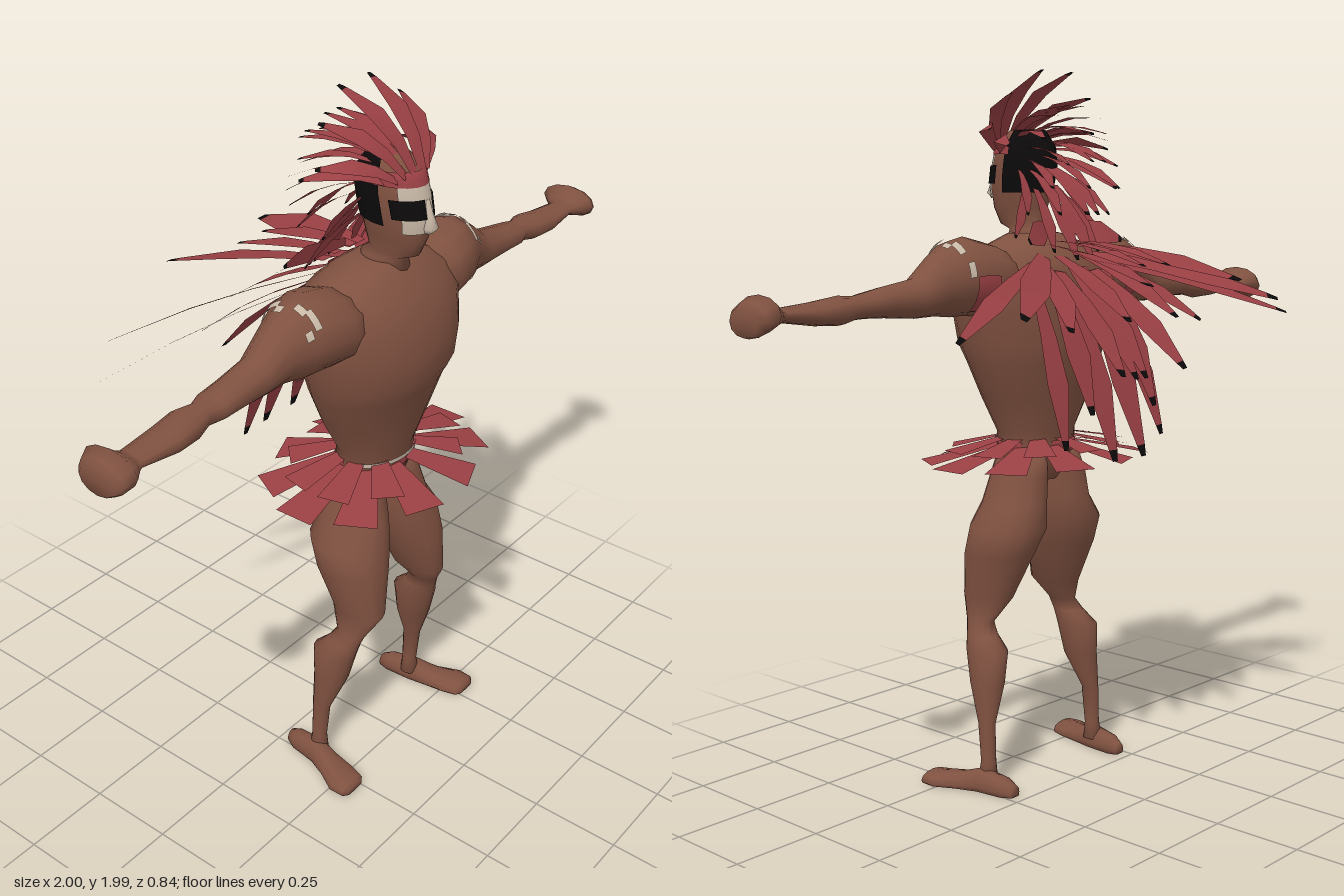
import * as THREE from 'three';

const mat = (name, color, side = THREE.FrontSide) =>
  Object.assign(new THREE.MeshStandardMaterial({ color, side }), { name });
const V = (x, y, z) => new THREE.Vector3(x, y, z);

// Skin of elliptical sections [t, a, b, ra, rb] along an axis (x: a=y b=z, y: a=z b=x, z: a=x b=y)
function loft(axis, secs, n = 16, a0 = 0, a1 = Math.PI * 2) {
  const closed = a1 - a0 > 6.28, cols = closed ? n : n + 1;
  const pos = [], idx = [];
  const put = (t, a, b) => pos.push(...(axis === 'x' ? [t, a, b] : axis === 'y' ? [b, t, a] : [a, b, t]));
  for (const [t, a, b, ra, rb] of secs)
    for (let i = 0; i < cols; i++) {
      const q = a0 + (a1 - a0) * i / n;
      put(t, a + ra * Math.cos(q), b + rb * Math.sin(q));
    }
  for (let j = 0; j < secs.length - 1; j++)
    for (let i = 0; i < n; i++) {
      const p = j * cols + i, q = j * cols + (i + 1) % cols;
      idx.push(p, q, q + cols, p, q + cols, p + cols);
    }
  if (closed) {
    const last = (secs.length - 1) * n, c = secs.length * n;
    put(...secs[0]);
    put(...secs[secs.length - 1]);
    for (let i = 0; i < n; i++) {
      const k = (i + 1) % n;
      idx.push(c, k, i, c + 1, last + i, last + k);
    }
  }
  return finish(pos, idx);
}

function finish(pos, idx) {
  const g = new THREE.BufferGeometry();
  g.setAttribute('position', new THREE.Float32BufferAttribute(pos, 3));
  g.setIndex(idx);
  g.computeVertexNormals();
  return g;
}

// Thin painted patch lying just above a lofted surface
function patch(axis, secs, t0, t1, a0, a1, grow = 0.004) {
  const at = t => {
    let j = 0;
    while (j < secs.length - 2 && secs[j + 1][0] < t) j++;
    const f = (t - secs[j][0]) / (secs[j + 1][0] - secs[j][0]);
    return secs[j].map((v, k) => v + (secs[j + 1][k] - v) * f + (k > 2 ? grow : 0));
  };
  return loft(axis, [0, 0.25, 0.5, 0.75, 1].map(f => at(t0 + (t1 - t0) * f)), 10, a0, a1);
}

function mirrored(geo) {
  const g = geo.clone().scale(-1, 1, 1);
  g.setIndex(Array.from(geo.index.array).reverse());
  g.computeVertexNormals();
  return g;
}

// Flat strip from base to tip; stops are [fraction, half width]
function strip(base, tip, hint, stops, lift) {
  const dir = tip.clone().sub(base);
  const side = dir.clone().cross(hint).normalize();
  const up = side.clone().cross(dir).normalize();
  const pos = [], idx = [];
  stops.forEach(([f, w], i) => {
    const c = base.clone().addScaledVector(dir, f).addScaledVector(up, lift * Math.sin(f * Math.PI));
    for (const s of [-1, 1]) pos.push(...c.clone().addScaledVector(side, s * w).toArray());
    if (i) idx.push(2 * i - 2, 2 * i - 1, 2 * i + 1, 2 * i - 2, 2 * i + 1, 2 * i);
  });
  return finish(pos, idx);
}

export function createModel() {
  const model = new THREE.Group();
  model.name = 'featheredWarrior';
  const skin = mat('brownSkin', 0x7f5140);
  const red = mat('redFeather', 0x9a4044, THREE.DoubleSide);
  const black = mat('black', 0x0c0a0a, THREE.DoubleSide);
  const cream = mat('creamPaint', 0xc8b8a6, THREE.DoubleSide);
  const group = name => {
    const g = new THREE.Group();
    g.name = name;
    model.add(g);
    return g;
  };
  const add = (name, geo, material, parent = model) => {
    const m = new THREE.Mesh(geo, material);
    m.name = name;
    parent.add(m);
  };
  const pair = (name, geo, material, parent = model) => {
    add('left' + name, geo, material, parent);
    add('right' + name, mirrored(geo), material, parent);
  };

  // Torso
  const torso = [
    [0.86, 0.145, 0, 0.05, 0.06], [0.9, 0.148, 0, 0.08, 0.125], [0.95, 0.153, 0, 0.093, 0.128],
    [1.0, 0.155, 0, 0.095, 0.125], [1.1, 0.155, 0, 0.125, 0.18], [1.2, 0.158, 0, 0.152, 0.225],
    [1.25, 0.165, 0, 0.172, 0.242], [1.33, 0.165, 0, 0.175, 0.262], [1.42, 0.158, 0, 0.165, 0.272],
    [1.48, 0.147, 0, 0.14, 0.245], [1.52, 0.15, 0, 0.1, 0.17], [1.55, 0.16, 0, 0.065, 0.08]];
  add('torso', loft('y', torso, 20), skin);
  add('belt', patch('y', torso, 0.94, 0.975, 0, 6.2832), red);
  add('beltTrim', patch('y', torso, 0.972, 0.985, -1.1, 1.1, 0.006), cream);

  // Neck and head
  const head = [
    [1.5, 0.17, 0, 0.08, 0.065], [1.56, 0.175, 0, 0.065, 0.048], [1.575, 0.205, 0, 0.075, 0.04],
    [1.62, 0.21, 0, 0.09, 0.056], [1.68, 0.205, 0, 0.103, 0.066], [1.74, 0.193, 0, 0.103, 0.07],
    [1.79, 0.19, 0, 0.09, 0.064], [1.83, 0.185, 0, 0.055, 0.04]];
  add('head', loft('y', head), skin);
  add('hair', patch('y', head, 1.66, 1.83, 1.45, 4.83), black);
  add('faceMask', patch('y', head, 1.645, 1.765, -0.95, 0.95), cream);
  add('headband', patch('y', head, 1.765, 1.8, -1.6, 1.6, 0.006), red);
  pair('Eye', patch('y', head, 1.685, 1.735, 0.18, 1.2, 0.007), black);
  add('nose', loft('y', [[1.645, 0.305, 0, 0.014, 0.012], [1.66, 0.312, 0, 0.022, 0.02],
    [1.69, 0.306, 0, 0.015, 0.012], [1.73, 0.296, 0, 0.01, 0.009]], 8), cream);

  // Arms and fists, with broken paint marks round the shoulders
  const arm = [
    [0.14, 1.43, 0.15, 0.07, 0.1], [0.22, 1.43, 0.15, 0.1, 0.12], [0.29, 1.44, 0.15, 0.105, 0.108],
    [0.34, 1.434, 0.15, 0.1, 0.09], [0.4, 1.42, 0.145, 0.08, 0.066], [0.47, 1.39, 0.145, 0.052, 0.055],
    [0.57, 1.385, 0.15, 0.04, 0.05], [0.63, 1.38, 0.15, 0.033, 0.05], [0.67, 1.376, 0.15, 0.03, 0.035],
    [0.72, 1.372, 0.15, 0.037, 0.052], [0.79, 1.368, 0.155, 0.03, 0.052], [0.9, 1.37, 0.155, 0.017, 0.04],
    [0.92, 1.37, 0.153, 0.025, 0.052], [0.955, 1.378, 0.15, 0.045, 0.085],
    [0.985, 1.364, 0.15, 0.044, 0.072], [1.0, 1.36, 0.15, 0.037, 0.055]];
  pair('Arm', loft('x', arm, 12), skin);
  for (const [x, a, len] of [[0.335, 0.2, 0.35], [0.325, 0.5, 0.55], [0.35, 0.95, 0.25], [0.36, 2.4, 0.2],
    [0.34, -0.8, 0.5], [0.355, -0.35, 0.3], [0.33, -1.5, 0.4]])
    pair('ShoulderPaint', patch('x', arm, x, x + 0.018, a, a + len, 0.005), cream);
  pair('ShoulderPatch', patch('x', arm, 0.26, 0.325, -2.5, -1.5, 0.005), red);

  // Legs and feet
  pair('Leg', loft('y', [
    [0.03, 0.135, 0.225, 0.028, 0.028], [0.08, 0.135, 0.222, 0.022, 0.021], [0.19, 0.142, 0.221, 0.028, 0.021],
    [0.3, 0.16, 0.198, 0.052, 0.047], [0.39, 0.168, 0.191, 0.067, 0.051], [0.43, 0.195, 0.182, 0.05, 0.038],
    [0.465, 0.212, 0.172, 0.046, 0.03], [0.53, 0.212, 0.14, 0.083, 0.052], [0.66, 0.178, 0.128, 0.107, 0.092],
    [0.735, 0.157, 0.113, 0.117, 0.103], [0.8, 0.155, 0.09, 0.102, 0.082], [0.88, 0.147, 0.078, 0.09, 0.072],
    [0.94, 0.147, 0.066, 0.08, 0.055]], 14), skin);
  const foot = loft('z', [
    [0.03, 0.226, 0.012, 0.018, 0.022], [0.06, 0.23, 0.015, 0.03, 0.035], [0.14, 0.238, 0.015, 0.034, 0.048],
    [0.2, 0.255, 0.01, 0.042, 0.034], [0.26, 0.275, 0.008, 0.055, 0.028], [0.3, 0.28, 0.008, 0.048, 0.024],
    [0.312, 0.28, 0.008, 0.032, 0.014]], 12);
  const fp = foot.attributes.position;
  for (let i = 0; i < fp.count; i++) fp.setY(i, Math.max(0, fp.getY(i)));
  foot.computeVertexNormals();
  pair('Foot', foot, skin);

  // Feathers: [base xyz, tip xyz, width], mirrored, with black tips
  function feathers(name, rows, hint, lift) {
    const g = group(name);
    for (const [bx, by, bz, tx, ty, tz, w] of rows) {
      const b = V(bx, by, bz), t = V(tx, ty, tz);
      pair('Feather', strip(b, t, hint, [[0, w * 0.22], [0.3, w * 0.38], [0.6, w * 0.5], [0.94, w * 0.17]], lift), red, g);
      pair('FeatherTip', strip(b, t, hint, [[0.94, w * 0.17], [1, w * 0.1]], lift), black, g);
    }
  }
  feathers('frontCrest', [
    [0.015, 1.79, 0.275, 0.06, 1.985, 0.07, 0.062], [0.04, 1.79, 0.265, 0.16, 1.92, 0.09, 0.055],
    [0.055, 1.78, 0.25, 0.21, 1.825, 0.12, 0.045], [0.06, 1.77, 0.22, 0.2, 1.78, 0.06, 0.04]], V(0, 0.7, 0.7), 0.035);
  feathers('topCrest', [
    [0.015, 1.82, 0.23, 0.025, 1.89, 0.0, 0.05], [0.03, 1.82, 0.2, 0.09, 1.86, -0.01, 0.05],
    [0.02, 1.82, 0.16, 0.04, 1.815, -0.07, 0.05], [0.045, 1.81, 0.17, 0.13, 1.8, 0, 0.045]], V(0, 1, 0), 0.02);
  feathers('backCrest', [
    [0.015, 1.8, 0.12, 0.025, 1.74, -0.08, 0.055], [0.045, 1.78, 0.13, 0.1, 1.73, -0.06, 0.05],
    [0.03, 1.76, 0.1, 0.06, 1.67, -0.1, 0.055], [0.055, 1.75, 0.13, 0.13, 1.67, -0.03, 0.05],
    [0.015, 1.73, 0.1, 0.02, 1.6, -0.06, 0.06], [0.05, 1.72, 0.12, 0.1, 1.6, -0.03, 0.05]], V(0, 0.7, -0.7), 0.015);
  feathers('napeFeathers', [
    [0.02, 1.68, 0.1, 0.03, 1.48, -0.03, 0.06], [0.045, 1.67, 0.11, 0.09, 1.5, 0.0, 0.05],
    [0.06, 1.67, 0.14, 0.18, 1.54, 0.06, 0.035], [0.065, 1.72, 0.15, 0.12, 1.6, 0.07, 0.04],
    [0.04, 1.57, 0.08, 0.19, 1.53, 0.0, 0.07]], V(0, 0.3, -1), 0.01);
  feathers('capeFeathers', [
    [0.06, 1.52, 0.04, 0.19, 1.43, -0.41, 0.12], [0.03, 1.53, 0.05, 0.05, 1.47, -0.28, 0.07],
    [0.1, 1.49, 0.03, 0.53, 1.36, -0.3, 0.085], [0.14, 1.47, 0.03, 0.68, 1.31, -0.23, 0.055],
    [0.05, 1.49, 0.02, 0.1, 1.33, -0.27, 0.09], [0.11, 1.47, 0.02, 0.27, 1.31, -0.22, 0.08]], V(0, 0.8, -0.6), 0.015);
  feathers('longBackFeathers', [
    [0.07, 1.45, 0, 0.13, 1.19, -0.275, 0.095], [0.15, 1.4, 0.01, 0.2, 0.99, -0.14, 0.08],
    [0.04, 1.43, 0, 0.06, 0.95, -0.19, 0.1], [0.11, 1.45, 0, 0.13, 1.08, -0.17, 0.09],
    [0.02, 1.46, 0, 0.02, 1.17, -0.23, 0.08]], V(0, 0.4, -1), 0.015);

  // Two layers of skirt panels radiating from the waist
  const skirt = group('skirt');
  for (const [reach, y0, y1, w, turn] of [[1, 0.965, 0.92, 0.058, 0.5], [0.8, 0.985, 0.955, 0.045, 0]])
    for (let k = 0; k < 10; k++) {
      const a = (k + turn) * Math.PI / 5, s = Math.sin(a), c = Math.cos(a);
      if (!turn && k === 0) continue;
      add('skirtPanel', strip(V(0.11 * s, y0, 0.153 + 0.08 * c), V(0.35 * reach * s, y1, 0.155 + 0.26 * reach * c),
        V(0, 1, 0), [[0, w * 0.45], [1, w]], 0), red, skirt);
    }
  return model;
}
